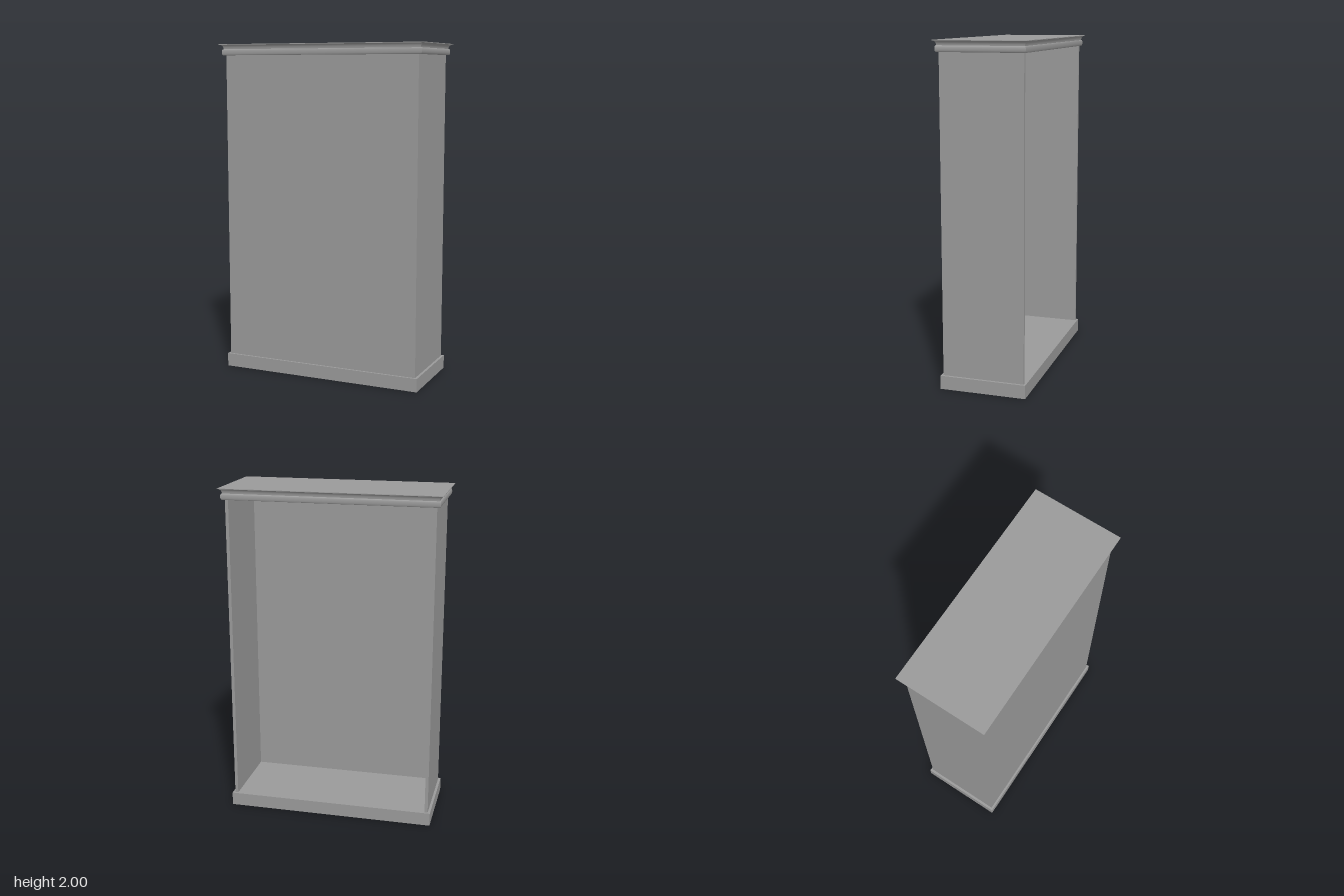
import * as THREE from 'three';

const W = 0.613, D = 0.243;          // half width and half depth of the carcass
const BASE = 0.08, CEIL = 1.934, TOP = 2;
const SIDE = 0.019, PANEL = 0.012;   // panel thicknesses
const OUT_X = 0.037, OUT_Z = 0.025;  // overhang of the cornice

export function createModel() {
  const group = new THREE.Group();
  const grey = new THREE.MeshStandardMaterial({ color: 0x999999 });
  grey.name = 'grey';

  const add = (name, geometry) => {
    const mesh = new THREE.Mesh(geometry, grey);
    mesh.name = name;
    group.add(mesh);
    return mesh;
  };
  const box = (name, x0, x1, y0, y1, z0, z1) =>
    add(name, new THREE.BoxGeometry(x1 - x0, y1 - y0, z1 - z0))
      .position.set((x0 + x1) / 2, (y0 + y1) / 2, (z0 + z1) / 2);

  // Sweeps a profile of [overhang, y] round the four mitred sides
  const moulding = (name, profile) => {
    const corners = [[1, 1], [1, -1], [-1, -1], [-1, 1]];
    const pos = [], idx = [];
    for (let s = 0; s < 4; s++) {
      const start = pos.length / 3;
      for (const [t, y] of profile) {
        for (const [sx, sz] of [corners[s], corners[(s + 1) % 4]]) {
          pos.push(sx * (W + t * OUT_X), y, sz * (D + t * OUT_Z));
        }
      }
      for (let i = 0; i < profile.length - 1; i++) {
        const a = start + i * 2;
        idx.push(a, a + 1, a + 3, a, a + 3, a + 2);
      }
    }
    const geometry = new THREE.BufferGeometry();
    geometry.setAttribute('position', new THREE.Float32BufferAttribute(pos, 3));
    geometry.setIndex(idx);
    geometry.computeVertexNormals();
    add(name, geometry);
  };

  // Plinth and carcass, open at the back
  box('plinth', -0.628, 0.628, 0, BASE, -0.256, 0.256);
  box('frontPanel', -W, W, BASE, CEIL, D - PANEL, D);
  for (const s of [-1, 1]) {
    const x = s * (W - SIDE / 2);
    box(s > 0 ? 'leftSide' : 'rightSide', x - SIDE / 2, x + SIDE / 2, BASE, CEIL, -D, D - PANEL);
  }

  // Cornice: solid top, rounded bead and hollow cove above it
  box('topBoard', -W, W, CEIL, TOP - 0.004, -D, D);
  const bead = [];
  for (let i = 0; i <= 10; i++) {
    const a = -Math.PI / 2 + Math.PI * i / 10;
    bead.push([0.4 + 0.2 * Math.cos(a), 1.952 + 0.018 * Math.sin(a)]);
  }
  const cove = [];
  for (let i = 0; i <= 8; i++) {
    const a = Math.PI / 2 * i / 8;
    cove.push([0.95 - 0.6 * Math.cos(a), 1.97 + 0.026 * Math.sin(a)]);
  }
  moulding('beadUnderside', [[0, CEIL], [0.4, CEIL]]);
  moulding('bead', bead);
  moulding('beadLedge', [[0.4, 1.97], [0.35, 1.97]]);
  moulding('cove', cove);
  box('topSlab', -W - OUT_X, W + OUT_X, TOP - 0.004, TOP, -D - OUT_Z, D + OUT_Z);

  return group;
}
